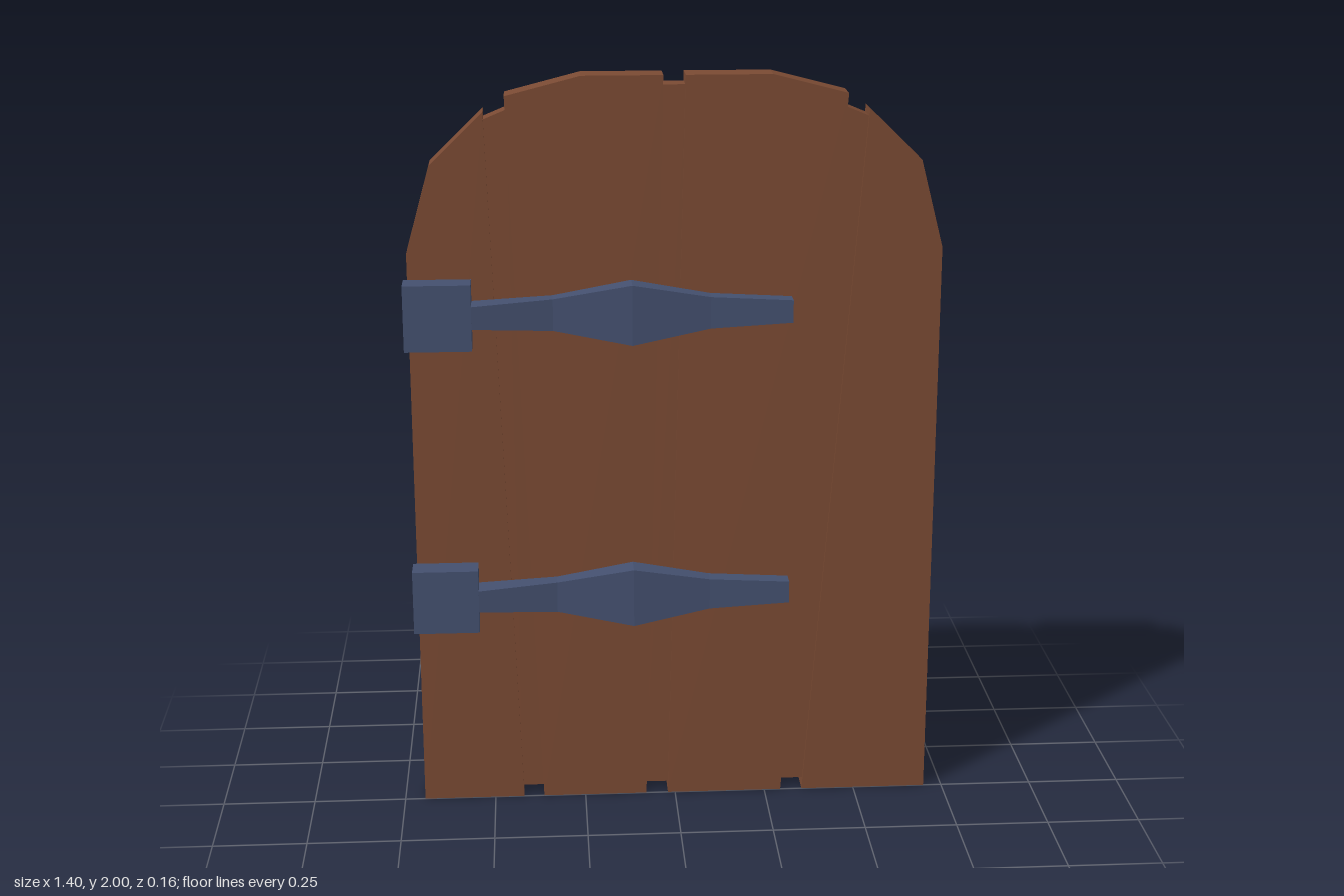
import * as THREE from 'three';

const wood = new THREE.MeshStandardMaterial({ color: 0x7a4a33, flatShading: true });
const iron = new THREE.MeshStandardMaterial({ color: 0x44506f, flatShading: true });

// Flat board cut from an outline, spanning z = back..front
function board(name, points, back, front) {
  const shape = new THREE.Shape(points.map(([x, y]) => new THREE.Vector2(x, y)));
  const geo = new THREE.ExtrudeGeometry(shape, { depth: front - back, bevelEnabled: false });
  geo.translate(0, 0, back);
  const mesh = new THREE.Mesh(geo, wood);
  mesh.name = name;
  return mesh;
}

// Rectangular bar lofted along x through stations [x, half height, front z]
function loftBar(stations, back) {
  const pos = [], idx = [];
  for (const [x, h, f] of stations) pos.push(x, -h, back, x, -h, f, x, h, f, x, h, back);
  const n = stations.length;
  for (let i = 0; i < n - 1; i++) {
    for (let k = 0; k < 4; k++) {
      const a = i * 4 + k, b = i * 4 + (k + 1) % 4;
      idx.push(a, a + 4, b, b, a + 4, b + 4);
    }
  }
  const e = (n - 1) * 4;
  idx.push(0, 1, 2, 0, 2, 3, e, e + 2, e + 1, e, e + 3, e + 2);
  const geo = new THREE.BufferGeometry();
  geo.setAttribute('position', new THREE.Float32BufferAttribute(pos, 3));
  geo.setIndex(idx);
  const flat = geo.toNonIndexed();
  flat.computeVertexNormals();
  return flat;
}

function createHinge() {
  const hinge = new THREE.Group();
  hinge.name = 'hinge';
  const plate = new THREE.Mesh(new THREE.BoxGeometry(0.175, 0.175, 0.07), iron);
  plate.position.set(-0.6175, 0, 0.045);
  plate.name = 'hingePlate';
  const strap = new THREE.Mesh(loftBar([
    [-0.53, 0.03, 0.079], [-0.32, 0.042, 0.056], [-0.115, 0.08, 0.077],
    [0.09, 0.042, 0.057], [0.305, 0.03, 0.056],
  ], 0.01), iron);
  strap.name = 'hingeStrap';
  hinge.add(plate, strap);
  return hinge;
}

export function createModel() {
  const door = new THREE.Group();
  door.name = 'door';

  // Four tapering planks under an arched top
  const planks = [
    [[-0.695, 0], [-0.42, 0], [-0.49, 1.91], [-0.63, 1.775], [-0.695, 1.545]],
    [[-0.365, 0], [-0.08, 0], [-0.03, 2], [-0.24, 2], [-0.435, 1.95]],
    [[-0.02, 0], [0.295, 0], [0.445, 1.95], [0.25, 2], [0.027, 2]],
    [[0.355, 0], [0.7, 0], [0.7, 1.545], [0.64, 1.775], [0.5, 1.91]],
  ];
  planks.forEach((p) => door.add(board('plank', p, -0.081, 0)));

  // Recessed strips filling the gaps between planks
  const strips = [
    [[-0.425, 0.03], [-0.36, 0.03], [-0.43, 1.915], [-0.49, 1.89]],
    [[-0.085, 0.03], [-0.015, 0.03], [0.03, 1.975], [-0.035, 1.975]],
    [[0.29, 0.03], [0.36, 0.03], [0.5, 1.89], [0.44, 1.915]],
  ];
  strips.forEach((p) => door.add(board('gapStrip', p, -0.072, -0.009)));

  // Two strap hinges on the front
  for (const y of [0.612, 1.392]) {
    const hinge = createHinge();
    hinge.position.y = y;
    door.add(hinge);
  }
  return door;
}
